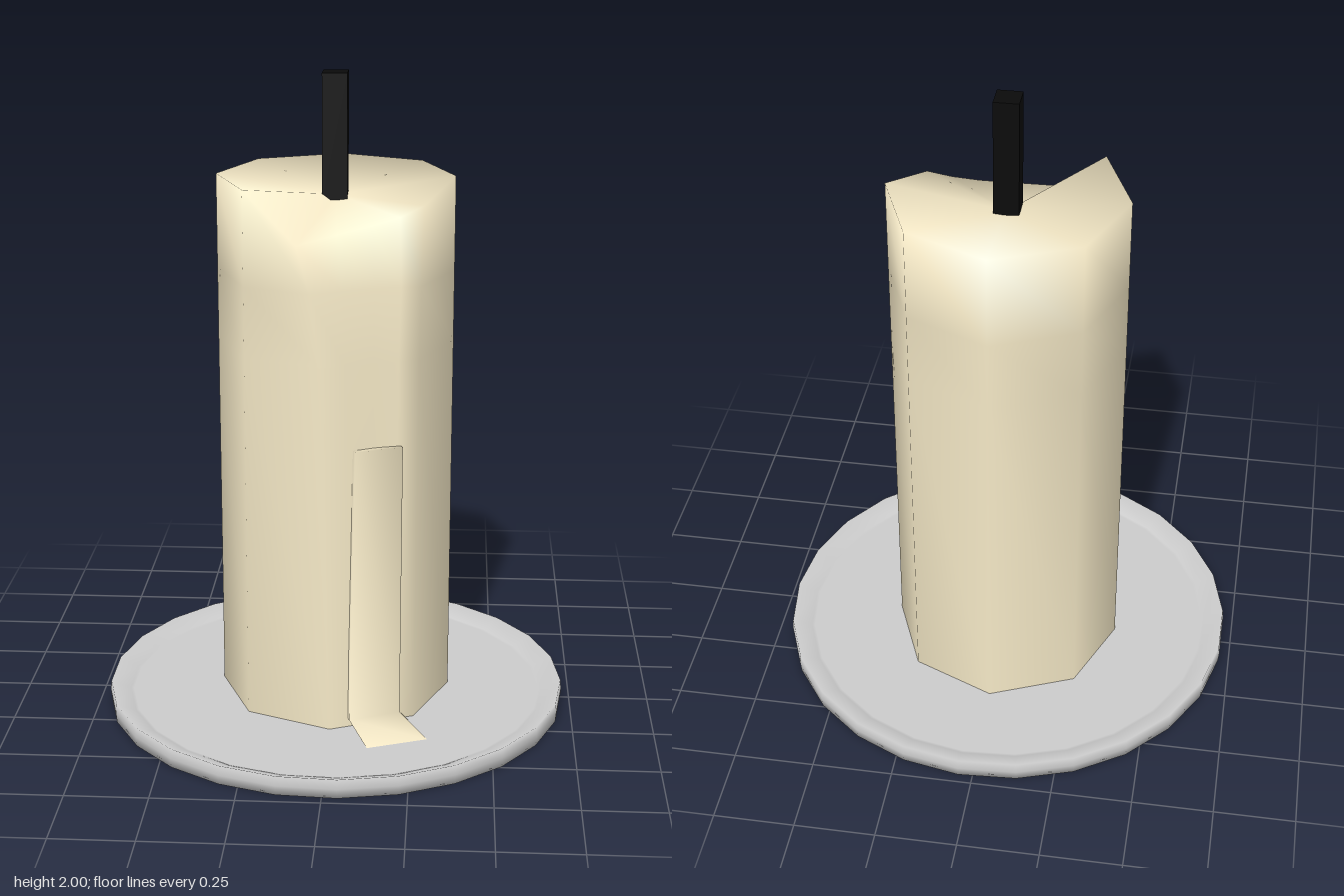
import * as THREE from 'three';

// Skin a closed shape through rings of [x, y, z] points listed top to bottom,
// each ring counter-clockwise from above, with a fan closing the top.
function loft(top, rows) {
  const n = rows[0].length;
  const index = [];
  for (let i = 0; i < n; i++) {
    const j = (i + 1) % n;
    index.push(0, 1 + i, 1 + j);
    for (let r = 0; r < rows.length - 1; r++) {
      const a = 1 + r * n + i, b = 1 + r * n + j;
      index.push(a, a + n, b + n, a, b + n, b);
    }
  }
  const geo = new THREE.BufferGeometry();
  geo.setAttribute('position', new THREE.Float32BufferAttribute([top, ...rows.flat()].flat(), 3));
  geo.setIndex(index);
  geo.computeVertexNormals();
  return geo;
}

export function createModel() {
  const model = new THREE.Group();
  const add = (name, geo, color, side = THREE.FrontSide) => {
    const mesh = new THREE.Mesh(geo, new THREE.MeshStandardMaterial({ color, side }));
    mesh.name = name;
    model.add(mesh);
    return mesh;
  };
  const wax = 0xf4e8c6;
  const floorY = 0.032, rimY = 1.69;

  // Thin dish whose rim flares above and below the floor
  const profile = [
    [0, 0.028], [0.65, 0.028], [0.66, 0.027], [0.722, 0], [0.725, 0.03],
    [0.722, 0.06], [0.66, 0.033], [0.65, floorY], [0, floorY],
  ].map(([x, y]) => new THREE.Vector2(x, y));
  add('dish', new THREE.LatheGeometry(profile, 25, Math.PI / 2), 0xcccccc);

  // Upright wall corners of the octagonal candle
  const wall = [[0.36, -0.025], [0.255, -0.28], [0, -0.39], [-0.26, -0.28], [-0.365, -0.025], [-0.26, 0.23]]
    .map(([x, z]) => [rimY, 1.4, 1.18, floorY].map((y) => [x, y, z]));
  // Columns of the melted spout, rim to base, leaning inward as they rise
  const spout = [
    [[-0.1, 1.54, 0.29], [-0.06, 1.4, 0.302], [-0.03, 1.18, 0.315], [0, floorY, 0.34]],
    [[0.02, 1.565, 0.245], [0.035, 1.4, 0.265], [0.045, 1.18, 0.295], [0.065, floorY, 0.312]],
    [[0.12, 1.585, 0.21], [0.125, 1.4, 0.228], [0.125, 1.18, 0.255], [0.13, floorY, 0.285]],
    [[0.2, 1.605, 0.185], [0.205, 1.4, 0.205], [0.2, 1.18, 0.233], [0.19, floorY, 0.258]],
    [[0.27, 1.635, 0.155], [0.264, 1.4, 0.188], [0.26, 1.18, 0.212], [0.255, floorY, 0.23]],
  ];
  const columns = [...wall, ...spout];
  const rows = [0, 1, 2, 3].map((r) => columns.map((c) => c[r]));
  add('candleBody', loft([0, 1.63, -0.025], rows), wax, THREE.DoubleSide);

  // Thin run of wax down the front, spreading out on the dish
  const drip = [
    [0.92, [[0.075, 0.308], [0.215, 0.248], [0.19, 0.2], [0.05, 0.25]]],
    [0.06, [[0.06, 0.33], [0.213, 0.262], [0.19, 0.2], [0.04, 0.26]]],
    [floorY, [[0.12, 0.46], [0.3, 0.39], [0.22, 0.22], [0.06, 0.28]]],
  ].map(([y, ring]) => ring.map(([x, z]) => [x, y, z]));
  add('waxDrip', loft([0.13, 0.92, 0.25], drip), wax);

  // Square wick
  const wick = add('wick', new THREE.BoxGeometry(0.076, 0.38, 0.076), 0x0a0a0a);
  wick.position.set(-0.003, 1.81, -0.022);

  return model;
}
